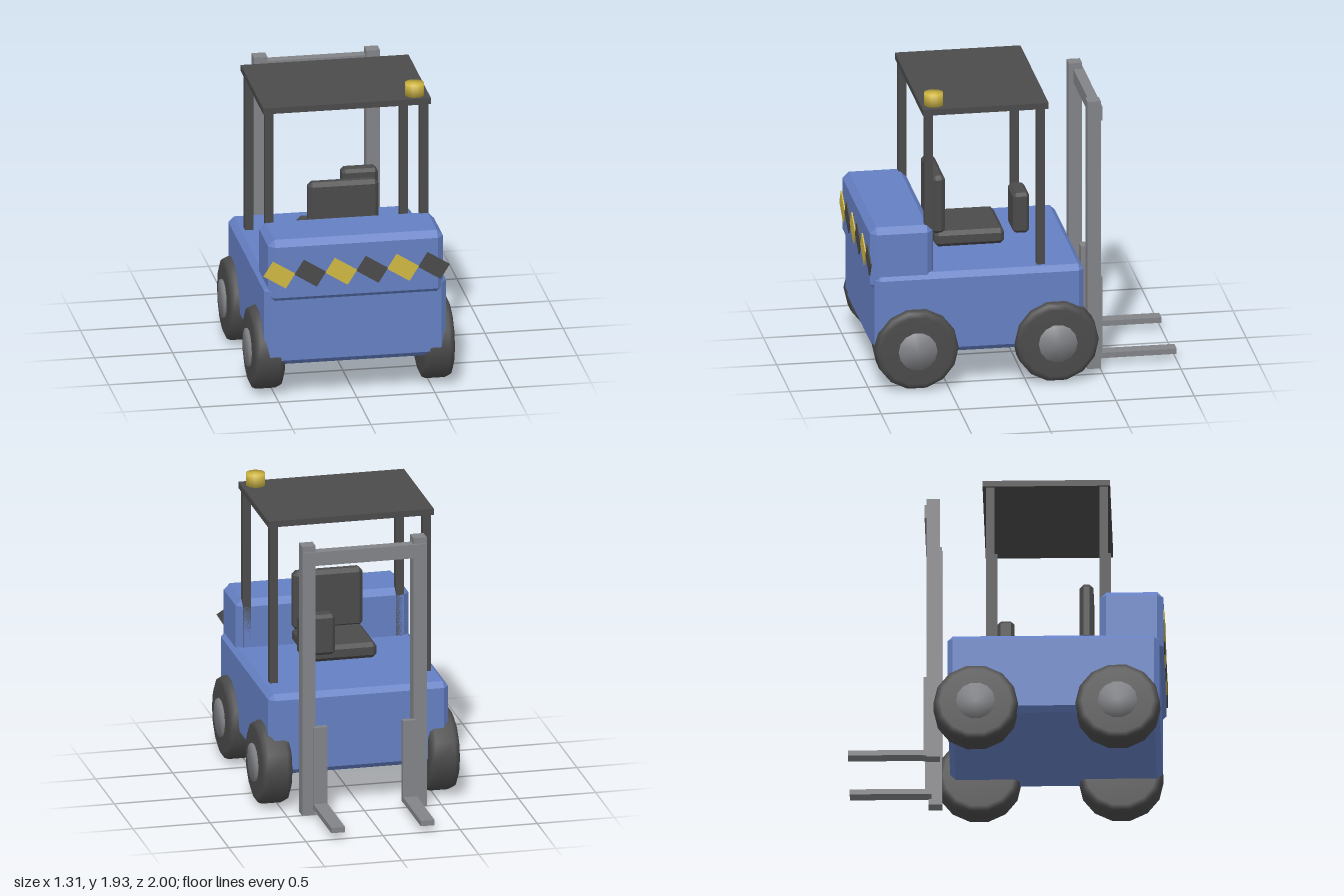
import * as THREE from 'three';
import { ConvexGeometry } from 'three/addons/geometries/ConvexGeometry.js';

function material(name, color) {
  const m = new THREE.MeshStandardMaterial({ color });
  m.name = name;
  return m;
}

// Box with every edge cut flat, given by its min and max corners
function chamferedBox(min, max, c) {
  const size = max.map((v, i) => v - min[i]);
  const points = [];
  for (const sx of [-1, 1]) for (const sy of [-1, 1]) for (const sz of [-1, 1]) {
    const signs = [sx, sy, sz];
    for (let axis = 0; axis < 3; axis++) {
      const p = signs.map((s, i) => s * (size[i] / 2 - (i === axis ? 0 : c)));
      points.push(new THREE.Vector3(...p));
    }
  }
  return new ConvexGeometry(points);
}

const lathe = (profile, sides) =>
  new THREE.LatheGeometry(profile.map(([r, y]) => new THREE.Vector2(r, y)), sides);

export function createModel() {
  const root = new THREE.Group();
  root.name = 'forklift';

  const blue = material('bluePaint', 0x6580c4);
  const dark = material('darkGrey', 0x4b4b4b);
  const steel = material('steelGrey', 0x838488);
  const yellow = material('yellow', 0xd1b843);

  function add(name, geometry, mat, x, y, z, parent = root) {
    const mesh = new THREE.Mesh(geometry, mat);
    mesh.name = name;
    mesh.position.set(x, y, z);
    parent.add(mesh);
    return mesh;
  }

  // Box from min corner to max corner, chamfered when c > 0
  function block(name, mat, min, max, c = 0) {
    const mid = min.map((v, i) => (v + max[i]) / 2);
    const geometry = c
      ? chamferedBox(min, max, c)
      : new THREE.BoxGeometry(...max.map((v, i) => v - min[i]));
    return add(name, geometry, mat, ...mid);
  }

  // Chassis and counterweight
  block('chassis', blue, [-0.583, 0.23, -0.37], [0.583, 0.765, 0.968], 0.035);
  block('counterweight', blue, [-0.56, 0.655, 0.59], [0.56, 1.075, 0.992], 0.04);

  // Slanted warning stripes
  const stripeGeometry = new THREE.BoxGeometry(0.167, 0.113, 0.008);
  for (let i = 0; i < 6; i++) {
    const stripe = add('warningStripe', stripeGeometry, i % 2 ? dark : yellow,
      -0.495 + i * 0.198, 0.853, 0.996);
    stripe.rotation.z = -0.56;
  }

  // Seat and control console
  block('seatBase', dark, [-0.225, 0.805, 0.08], [0.225, 0.907, 0.525], 0.025);
  block('seatBack', dark, [-0.225, 0.892, 0.458], [0.225, 1.28, 0.545], 0.025);
  block('console', dark, [0.08, 0.9, -0.065], [0.31, 1.167, 0.04], 0.02);

  // Cab roof and its four posts
  block('roof', dark, [-0.537, 1.81, -0.148], [0.537, 1.85, 0.655]);
  for (const side of [-1, 1]) {
    for (const z of [0.616, -0.1]) {
      add('roofPost', new THREE.BoxGeometry(0.052, 1.08, 0.052), dark, side * 0.496, 1.28, z);
    }
  }

  // Beacon
  add('beacon', lathe([[0, 0], [0.061, 0], [0.061, 0.08], [0, 0.08]], 16), yellow,
    0.445, 1.85, 0.572);

  // Mast rails and forks
  for (const side of [-1, 1]) {
    add('mastRail', new THREE.BoxGeometry(0.087, 1.79, 0.086), steel, side * 0.36, 0.895, -0.462);
    add('forkShank', new THREE.BoxGeometry(0.09, 0.545, 0.04), steel, side * 0.29, 0.3125, -0.505);
    add('forkTine', new THREE.BoxGeometry(0.09, 0.035, 0.5), steel, side * 0.29, 0.06, -0.75);
  }
  block('mastCrossbar', steel, [-0.4, 1.66, -0.516], [0.4, 1.75, -0.45]);

  // Wheels: tyre and hub turned about the axle
  const tyreGeometry = lathe([
    [0, -0.098], [0.225, -0.098], [0.256, -0.086], [0.267, -0.06],
    [0.267, 0.06], [0.256, 0.086], [0.225, 0.098], [0, 0.098],
  ], 14);
  const hubGeometry = lathe([[0.123, 0], [0.123, 0.112], [0, 0.112]], 14);
  for (const side of [-1, 1]) {
    for (const z of [0.705, -0.19]) {
      const wheel = new THREE.Group();
      wheel.name = z > 0 ? 'frontWheel' : 'backWheel';
      wheel.position.set(side * 0.543, 0.272, z);
      wheel.rotation.z = -side * Math.PI / 2;
      add('tyre', tyreGeometry, dark, 0, 0, 0, wheel);
      add('hub', hubGeometry, steel, 0, 0, 0, wheel);
      root.add(wheel);
    }
  }

  return root;
}
